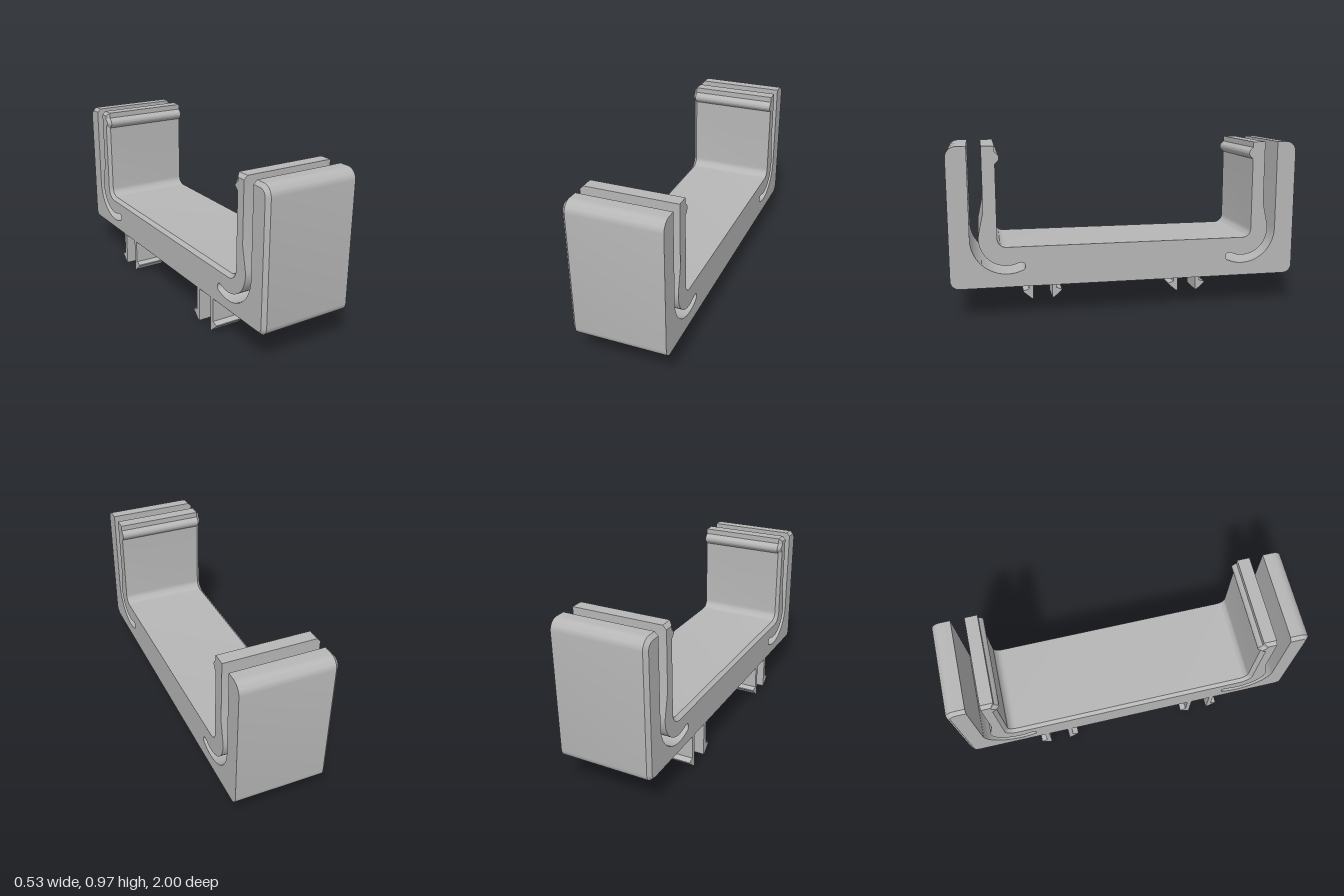
import * as THREE from 'three';
import { toCreasedNormals } from 'three/addons/utils/BufferGeometryUtils.js';

const grey = new THREE.MeshStandardMaterial({ color: 0xb6b6b6 });
grey.name = 'grey plastic';

const V = (s, y) => new THREE.Vector2(s, y);

function arc(cx, cy, r, from, to, n = 8) {
  return Array.from({ length: n + 1 }, (_, i) => {
    const a = THREE.MathUtils.degToRad(from + ((to - from) * i) / n);
    return V(cx + r * Math.cos(a), cy + r * Math.sin(a));
  });
}

// Shrinks a counter-clockwise outline; each edge has its own inset distance
function inset(points, distance) {
  const n = points.length;
  const normal = (i) => {
    const e = points[(i + 1) % n].clone().sub(points[i]).normalize();
    return V(e.y, -e.x);
  };
  return points.map((p, i) => {
    const j = (i + n - 1) % n;
    const a = normal(j), b = normal(i), da = -distance(j), db = -distance(i);
    const det = a.cross(b);
    if (Math.abs(det) < 1e-3) return p.clone().addScaledVector(b, db);
    return V(p.x + (da * b.y - db * a.y) / det, p.y + (a.x * db - b.x * da) / det);
  });
}

// Joins outlines (s = -z, y) set at growing x into a capped solid
function loft(sections) {
  const n = sections[0].points.length;
  const pos = [], index = [];
  sections.forEach(({ x, points }) => points.forEach((p) => pos.push(x, p.y, -p.x)));
  for (let k = 0; k < sections.length - 1; k++) {
    for (let i = 0; i < n; i++) {
      const a = k * n + i, b = k * n + ((i + 1) % n);
      index.push(a, b, b + n, a, b + n, a + n);
    }
  }
  const last = sections.length - 1;
  for (const [a, b, c] of THREE.ShapeUtils.triangulateShape(sections[0].points.slice(), [])) index.push(a, c, b);
  for (const [a, b, c] of THREE.ShapeUtils.triangulateShape(sections[last].points.slice(), [])) {
    index.push(a + last * n, b + last * n, c + last * n);
  }
  const geo = new THREE.BufferGeometry();
  geo.setAttribute('position', new THREE.Float32BufferAttribute(pos, 3));
  geo.setIndex(index);
  return toCreasedNormals(geo, 0.5);
}

export function createModel() {
  const group = new THREE.Group();
  const add = (name, geo) => {
    const mesh = new THREE.Mesh(geo, grey);
    mesh.name = name;
    group.add(mesh);
  };
  const left = -0.267, right = 0.267, top = 0.967, chamfer = 0.02;

  // Curved slot that frees the springy inner arm
  const slot = [
    V(0.887, top),
    ...arc(0.685, 0.457, 0.202, 0, -115, 18),
    ...arc(0.609, 0.295, 0.024, -125, -285, 8),
    ...arc(0.685, 0.457, 0.155, -115, 10, 18),
    V(0.81, 0.61),
    V(0.81, top),
  ];
  // Half of the cradle: outer wall, slot, inner arm with its ridge, floor fillet
  const half = [
    ...arc(0.95, 0.23, 0.05, -90, 0),
    ...arc(0.94, top - 0.06, 0.06, 0, 90),
    ...slot,
    V(0.738, top),
    V(0.738, 0.935),
    ...arc(0.742, 0.902, 0.027, 130, 230),
    V(0.738, 0.869),
    ...arc(0.688, 0.457, 0.05, 0, -90),
  ];
  const outline = [...half, ...half.map((p) => V(-p.x, p.y)).reverse()];

  // The outline is chamfered on one side, the slots stay sharp
  const first = half.indexOf(slot[0]), end = first + slot.length - 1;
  const inSlot = (i) => {
    const k = i < half.length ? i : outline.length - 1 - i;
    return k >= first && k <= end;
  };
  const distance = (i) => (inSlot(i) && inSlot((i + 1) % outline.length) ? 0 : chamfer);
  add('cradle', loft([
    { x: left, points: inset(outline, distance) },
    { x: left + chamfer, points: outline },
    { x: right, points: outline },
  ]));

  // Two pairs of barbed snap hooks under the floor
  const hook = [
    V(0.058, 0.21), V(0.058, 0), V(0.068, 0), V(0.119, 0.044),
    V(0.119, 0.05), V(0.085, 0.061), V(0.085, 0.21),
  ];
  const mirrored = hook.map((p) => V(-p.x, p.y)).reverse();
  for (const [place, s] of [['front', -0.461], ['back', 0.456]]) {
    for (const [side, shape] of [['Outer', s > 0 ? hook : mirrored], ['Inner', s > 0 ? mirrored : hook]]) {
      const points = shape.map((p) => V(p.x + s, p.y));
      add(`${place}${side}Hook`, loft([{ x: left, points }, { x: -0.087, points }]));
    }
  }
  return group;
}
